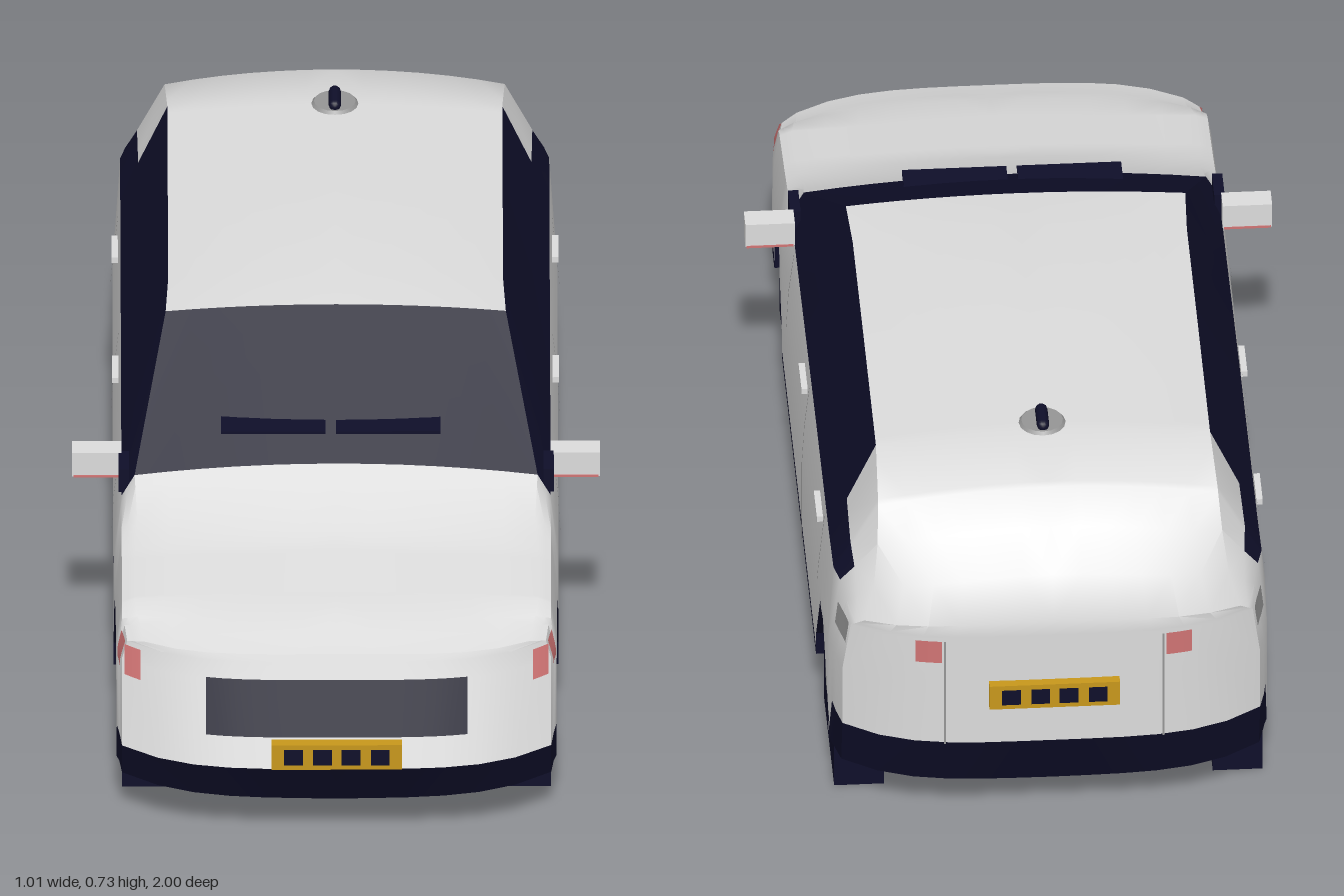
import * as THREE from 'three';
import { toCreasedNormals } from 'three/addons/utils/BufferGeometryUtils.js';

const mat = (name, color, side = THREE.FrontSide) =>
  Object.assign(new THREE.MeshStandardMaterial({ color, side }), { name });

// Body stations: z, half width, belt y, belt half width, roof edge y, roof half width, centre y
const STATIONS = [
  [0.985, 0.41, 0.375, 0.4, 0.385, 0.37, 0.39],
  [0.93, 0.415, 0.385, 0.405, 0.395, 0.375, 0.405],
  [0.86, 0.42, 0.395, 0.41, 0.405, 0.38, 0.42],
  [0.75, 0.42, 0.41, 0.41, 0.42, 0.385, 0.43],
  [0.6, 0.422, 0.43, 0.41, 0.44, 0.385, 0.455],
  [0.52, 0.425, 0.445, 0.41, 0.46, 0.38, 0.485],
  [0.425, 0.425, 0.46, 0.41, 0.505, 0.385, 0.53],
  [0.12, 0.425, 0.47, 0.41, 0.69, 0.325, 0.705],
  [0, 0.425, 0.475, 0.41, 0.692, 0.32, 0.715],
  [-0.3, 0.425, 0.485, 0.41, 0.693, 0.32, 0.717],
  [-0.66, 0.425, 0.49, 0.41, 0.69, 0.32, 0.71],
  [-0.8, 0.42, 0.5, 0.41, 0.66, 0.325, 0.69],
  [-0.88, 0.415, 0.5, 0.4, 0.6, 0.33, 0.64],
  [-0.94, 0.41, 0.48, 0.39, 0.53, 0.34, 0.57],
  [-0.98, 0.4, 0.45, 0.385, 0.47, 0.36, 0.49],
];
const FRONT = 0.985, REAR = -0.98, WHEEL_Z = [0.595, -0.665], MID_Y = 0.34, COLS = 6;
const lerp = THREE.MathUtils.lerp;

function params(z) {
  let i = 0;
  while (i < STATIONS.length - 2 && z < STATIONS[i + 1][0]) i++;
  const a = STATIONS[i], b = STATIONS[i + 1], t = (a[0] - z) / (a[0] - b[0]);
  return a.map((v, k) => lerp(v, b[k], t));
}

// Rounds the nose and tail in plan and leans their faces
function warp([x, y, z]) {
  const t = THREE.MathUtils.smoothstep(Math.abs(z), 0.75, 0.98);
  const bow = 0.1 * Math.pow(Math.abs(x) / 0.42, 4);
  const low = Math.max(0, 0.13 - y) * 1.2;
  const lean = z > 0 ? Math.max(0, y - 0.18) * 0.36 : 0;
  return [x, y, z - Math.sign(z) * t * (bow + low + lean)];
}

function archY(z) {
  for (const c of WHEEL_Z) {
    const d = Math.abs(z - c);
    if (d < 0.146) return lerp(0.31, 0.15, Math.max(0, (d - 0.03) / 0.115));
  }
  return 0.1;
}

// Half cross-section from the keel, out and up to the roof centre
function section(z) {
  const [, w, yBelt, wBelt, yR, wR, yC] = params(z);
  const xin = Math.abs(z) > 0.9 ? w : 0.305, arch = archY(z);
  const sill = z > 0.85 ? 0.18 : z < -0.86 ? 0.21 : 0.115;
  const pts = [];
  for (let i = 0; i <= COLS; i++) pts.push([xin * i / COLS, 0.08 + 0.02 * i / COLS]);
  pts.push([xin, arch], [w, arch], [w, Math.max(arch, sill)], [w, MID_Y], [wBelt, yBelt],
    [lerp(wBelt, wR, 0.38), lerp(yBelt, yR, 0.38)]);
  for (let i = COLS; i >= 0; i--) {
    const c = i / COLS;
    pts.push([wR * c, yR + (yC - yR) * (1 - c * c)]);
  }
  return pts.map(([x, y]) => warp([x, y, z]));
}

// Adds a quad and its mirror image
function quad(out, a, b, c, d) {
  out.push(...a, ...b, ...c, ...a, ...c, ...d);
  const m = ([x, y, z]) => [-x, y, z];
  out.push(...m(a), ...m(c), ...m(b), ...m(a), ...m(d), ...m(c));
}

function surface(name, positions, material) {
  const g = new THREE.BufferGeometry();
  g.setAttribute('position', new THREE.Float32BufferAttribute(positions, 3));
  const mesh = new THREE.Mesh(toCreasedNormals(g, 0.55), material);
  mesh.name = name;
  return mesh;
}

function buildBody(paint, dark) {
  const shell = [], trim = [], glass = [];
  const S = COLS + 2;                       // index of the side's bottom point
  const zs = STATIONS.map(s => s[0]);
  for (const c of WHEEL_Z) for (const d of [0.147, 0.145, 0.03]) zs.push(c + d, c - d);
  zs.sort((a, b) => b - a);
  const rings = zs.map(section);
  for (let s = 0; s < zs.length - 1; s++) {
    const zm = (zs[s] + zs[s + 1]) / 2, a = rings[s], b = rings[s + 1];
    for (let i = 0; i < a.length - 1; i++) {
      let out = i <= S ? trim : shell;
      if (i === S + 3 && zm < 0.425 && zm > -0.88) out = glass;
      if (i === S + 4 && zm < 0.425 && zm > -0.66) out = glass;
      if (i > S + 4 && zm < 0.425 && zm > 0.12) out = glass;
      quad(out, a[i], b[i], b[i + 1], a[i + 1]);
    }
  }
  // Nose and tail faces
  for (const [z, ring] of [[FRONT, rings[0]], [REAR, rings[rings.length - 1]]]) {
    const n = ring.length - 1, P = params(z);
    const point = (r, c) => {
      if (r === S) return ring[c];
      if (r === S + 5) return ring[n - c];
      const x = [P[1], P[1], P[3], lerp(P[3], P[5], 0.38)][r - S - 1];
      return warp([x * c / COLS, ring[r][1], z]);
    };
    for (let r = S; r < S + 5; r++) for (let c = 0; c < COLS; c++) {
      const q = [point(r, c), point(r, c + 1), point(r + 1, c + 1), point(r + 1, c)];
      quad(r === S ? trim : shell, ...(z > 0 ? q : q.reverse()));
    }
  }
  return [surface('bodyShell', shell, paint), surface('sillsAndBumpers', trim, dark),
    surface('windows', glass, dark)];
}

// Thin mirrored patch lying just off the nose or tail face
function endPatch(name, x0, x1, y0, y1, front, material) {
  const out = [], N = 8, z = front ? FRONT : REAR;
  const p = (i, y) => {
    const q = warp([lerp(x0, x1, i / N), y, z]);
    q[2] += front ? 0.005 : -0.005;
    return q;
  };
  for (let i = 0; i < N; i++) {
    const q = [p(i, y0), p(i + 1, y0), p(i + 1, y1), p(i, y1)];
    quad(out, ...(front ? q : q.reverse()));
  }
  return surface(name, out, material);
}

// Thin mirrored patch lying just off the flanks
function sidePatch(name, z0, z1, y0, y1, material) {
  const out = [], N = 4;
  const p = (i, j) => {
    const z = lerp(z0, z1, i / N), y = lerp(y0, y1, j / N), P = params(z);
    const x = lerp(P[1], P[3], THREE.MathUtils.clamp((y - MID_Y) / (P[2] - MID_Y), 0, 1));
    const q = warp([x, y, z]);
    q[0] += 0.004;
    return q;
  };
  for (let i = 0; i < N; i++) for (let j = 0; j < N; j++)
    quad(out, p(i, j), p(i + 1, j), p(i + 1, j + 1), p(i, j + 1));
  return surface(name, out, material);
}

export function createModel() {
  const car = new THREE.Group();
  car.name = 'car';
  const paint = mat('bodyPaint', 0xdcdcdc, THREE.DoubleSide), dark = mat('darkTrim', 0x0f0f2a, THREE.DoubleSide);
  const yellow = mat('plateYellow', 0xc8981c), red = mat('lampRed', 0xd07474, THREE.DoubleSide);
  const grey = mat('grey', 0x969696, THREE.DoubleSide);

  const add = (name, geometry, material, x, y, z) => {
    const m = new THREE.Mesh(geometry, material);
    m.name = name;
    m.position.set(x, y, z);
    car.add(m);
    return m;
  };
  const box = (name, w, h, d, material, x, y, z) =>
    add(name, new THREE.BoxGeometry(w, h, d), material, x, y, z);

  car.add(...buildBody(paint, dark));

  // Lamps, grille and panel seams
  car.add(
    endPatch('grille', 0, 0.25, 0.24, 0.345, true, dark),
    endPatch('headlampFront', 0.375, 0.405, 0.315, 0.37, true, red),
    sidePatch('headlampSide', 0.985, 0.93, 0.325, 0.375, red),
    endPatch('tailLamp', 0.215, 0.265, 0.4, 0.45, false, red),
    sidePatch('rearCornerLamp', -0.9, -0.98, 0.405, 0.455, grey),
    endPatch('tailgateSeam', 0.207, 0.211, 0.21, 0.45, false, grey),
    sidePatch('frontDoorSeam', 0.279, 0.275, 0.12, 0.465, grey),
    sidePatch('middleDoorSeam', -0.168, -0.172, 0.12, 0.475, grey),
    sidePatch('rearDoorSeam', -0.598, -0.602, 0.33, 0.485, grey),
  );

  // Number plates with blank dark panels
  for (const [name, y, s] of [['frontPlate', 0.213, 1], ['rearPlate', 0.327, -1]]) {
    box(name, 0.25, 0.054, 0.022, yellow, 0, y, s * 0.987);
    for (const x of [-0.083, -0.027, 0.027, 0.083])
      box(name + 'Panel', 0.036, 0.033, 0.004, dark, x, y, s * 0.998);
  }

  // Wheels, mirrors and door handles on both sides
  const profile = new THREE.Shape([[-0.145, 0], [0.145, 0], [0.145, 0.148], [0.03, 0.307],
    [-0.03, 0.307], [-0.145, 0.148]].map(p => new THREE.Vector2(...p)));
  const wheel = new THREE.ExtrudeGeometry(profile, { depth: 0.095, bevelEnabled: false });
  wheel.translate(0, 0, -0.0475).rotateY(Math.PI / 2);
  const hub = new THREE.CylinderGeometry(0.025, 0.025, 0.01, 16).rotateZ(Math.PI / 2);
  for (const s of [-1, 1]) {
    for (const z of WHEEL_Z) {
      add('wheel', wheel, dark, s * 0.3625, 0, z);
      add('wheelHub', hub, grey, s * 0.41, 0.15, z);
    }
    box('mirror', 0.095, 0.052, 0.045, paint, s * 0.457, 0.489, 0.335);
    box('mirrorLamp', 0.09, 0.005, 0.047, red, s * 0.457, 0.4635, 0.335);
    box('mirrorMount', 0.02, 0.05, 0.07, dark, s * 0.406, 0.49, 0.385);
    for (const [z, y] of [[-0.09, 0.44], [-0.525, 0.453]])
      box('doorHandle', 0.012, 0.012, 0.085, paint, s * 0.421, y, z);
  }

  // Wipers and roof aerial
  for (const x of [-0.12, 0.1]) box('wiper', 0.2, 0.006, 0.06, dark, x, 0.575, 0.355);
  add('aerialBase', new THREE.CylinderGeometry(0.04, 0.045, 0.006, 16), grey, 0, 0.714, -0.635);
  const aerial = add('aerial', new THREE.CapsuleGeometry(0.012, 0.05, 4, 10), dark, 0, 0.722, -0.635);
  aerial.rotation.x = Math.PI / 2;
  return car;
}
